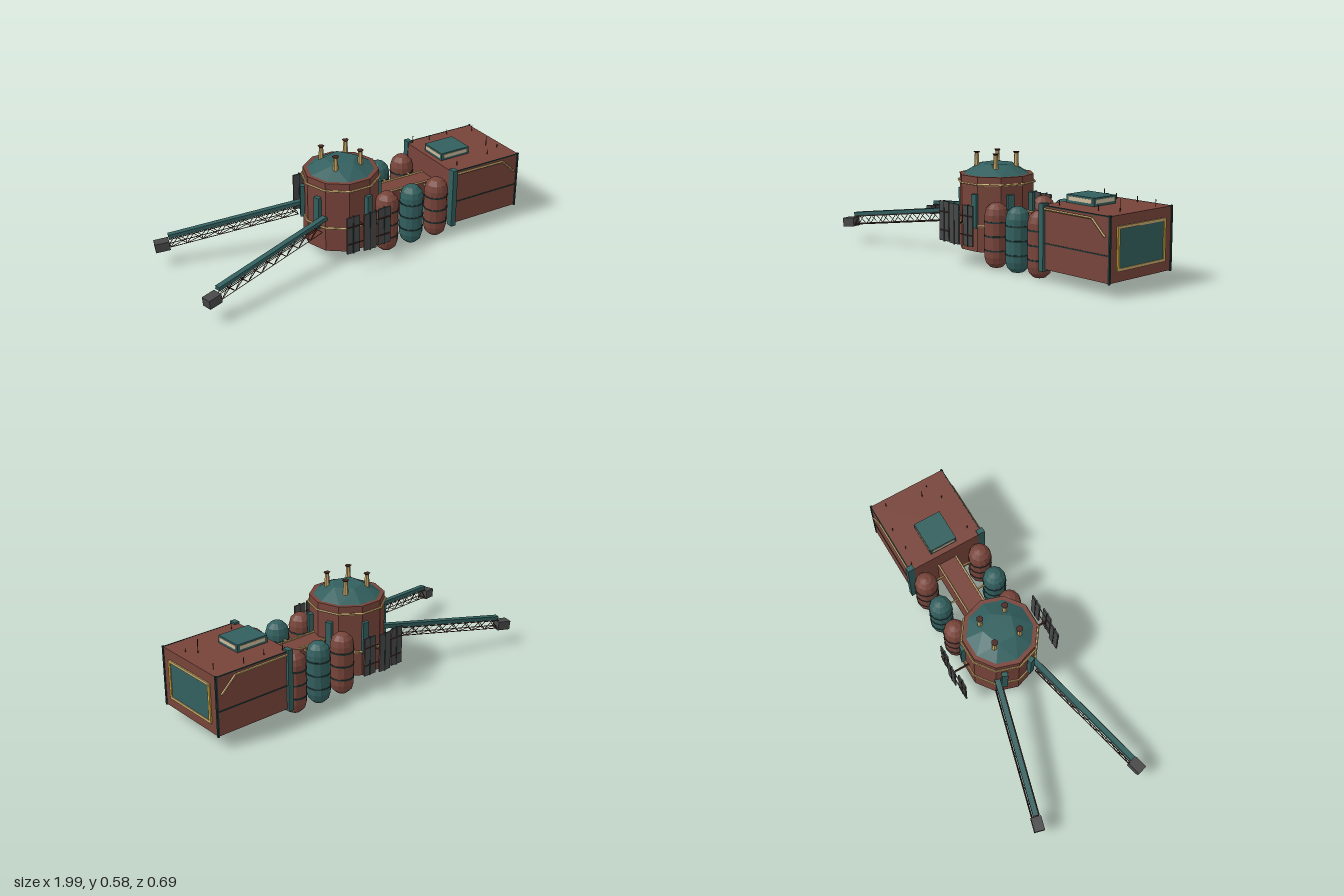
import * as THREE from 'three';
import { ConvexGeometry } from 'three/addons/geometries/ConvexGeometry.js';

const mat = (name, color) => Object.assign(new THREE.MeshStandardMaterial({ color }), { name });
const V = (x, y, z) => new THREE.Vector3(x, y, z);

export function createModel() {
  const rust = mat('rust red', 0x77443a);
  const darkRust = mat('dark rust', 0x4a2822);
  const teal = mat('teal', 0x325f5e);
  const darkTeal = mat('dark teal', 0x1e3434);
  const gold = mat('gold', 0xc9a642);
  const tan = mat('tan', 0xc6a668);
  const beige = mat('beige', 0xcbba9b);
  const grey = mat('dark grey', 0x474747);

  const root = new THREE.Group();
  root.name = 'station';

  // faceted mesh added to a parent
  const add = (name, geo, material, parent = root) => {
    const g = geo.index ? geo.toNonIndexed() : geo;
    g.computeVertexNormals();
    const m = new THREE.Mesh(g, material);
    m.name = name;
    parent.add(m);
    return m;
  };
  // box given by its extents
  const box = (name, material, x0, x1, y0, y1, z0, z1, parent = root) => {
    const m = add(name, new THREE.BoxGeometry(x1 - x0, y1 - y0, z1 - z0), material, parent);
    m.position.set((x0 + x1) / 2, (y0 + y1) / 2, (z0 + z1) / 2);
    return m;
  };
  // thin rod between two points
  const rod = (name, material, a, b, r, parent = root, sides = 5) => {
    const d = b.clone().sub(a);
    const m = add(name, new THREE.CylinderGeometry(r, r, d.length(), sides), material, parent);
    m.position.copy(a).add(b).multiplyScalar(0.5);
    m.quaternion.setFromUnitVectors(V(0, 1, 0), d.normalize());
    return m;
  };

  // Drum with a faceted dome
  const drum = new THREE.Group();
  drum.name = 'drum';
  drum.position.x = -0.04;
  root.add(drum);
  add('drumBody', new THREE.CylinderGeometry(0.203, 0.203, 0.4, 10, 1, false, Math.PI / 2), rust, drum).position.y = 0.27;
  const domePoints = [];
  for (let i = 0; i < 10; i++) {
    const a = i * Math.PI / 5;
    domePoints.push(V(Math.cos(a) * 0.183, 0.468, Math.sin(a) * 0.183));
    if (i % 2 === 0) domePoints.push(V(Math.cos(a) * 0.09, 0.525, Math.sin(a) * 0.09));
  }
  add('dome', new ConvexGeometry(domePoints), teal, drum);
  for (const y of [0.43, 0.21]) {
    const ring = add('drumPipe', new THREE.TorusGeometry(0.209, 0.006, 5, 10), tan, drum);
    ring.rotation.x = Math.PI / 2;
    ring.position.y = y;
  }

  // Chimneys
  for (const sx of [-1, 1]) for (const sz of [-1, 1]) {
    add('chimney', new THREE.CylinderGeometry(0.011, 0.015, 0.075, 6), tan, drum).position.set(sx * 0.075, 0.54, sz * 0.075);
    add('chimneyCap', new THREE.CylinderGeometry(0.019, 0.012, 0.008, 6), darkRust, drum).position.set(sx * 0.075, 0.581, sz * 0.075);
  }

  // Upright brackets round the drum
  for (const deg of [22, 76, 157]) for (const s of [-1, 1]) {
    const a = s * deg * Math.PI / 180;
    const b = add('bracket', new THREE.BoxGeometry(0.024, 0.18, 0.034), teal, drum);
    b.position.set(Math.cos(a) * 0.207, 0.29, Math.sin(a) * 0.207);
    b.rotation.y = -a;
  }

  // Spine joining drum and module
  box('spine', rust, 0.12, 0.55, 0.13, 0.275, -0.06, 0.06);
  for (const s of [-1, 1]) rod('spinePipe', tan, V(0.14, 0.277, s * 0.055), V(0.54, 0.277, s * 0.055), 0.006);

  // Tanks with straps
  for (const s of [-1, 1]) [0.145, 0.305, 0.465].forEach((x, i) => {
    const tank = new THREE.Group();
    tank.name = 'tank';
    tank.position.set(x, 0.176, s * 0.17);
    root.add(tank);
    add('tankBody', new THREE.CapsuleGeometry(0.064, 0.222, 3, 12), i === 1 ? teal : rust, tank);
    for (const y of [-0.075, 0, 0.075])
      add('tankStrap', new THREE.CylinderGeometry(0.0665, 0.0665, 0.008, 12, 1, false, Math.PI / 2), darkTeal, tank).position.y = y;
    rod('tankPipe', tan, V(x, 0.26, s * 0.05), V(x, 0.26, s * 0.12), 0.006);
  });

  // Cargo module
  box('module', rust, 0.53, 0.98, 0.07, 0.39, -0.225, 0.225);
  for (const s of [-1, 1]) {
    const z = (a, b) => (s > 0 ? [a, b] : [-b, -a]);
    box('moduleFramePost', teal, 0.527, 0.557, 0.06, 0.4, ...z(0.2, 0.24));
    box('moduleCornerPost', darkTeal, 0.974, 0.984, 0.066, 0.394, ...z(0.218, 0.229));
    box('sideBand', darkTeal, 0.557, 0.974, 0.198, 0.204, ...z(0.224, 0.228));
    box('roofEdge', darkTeal, 0.557, 0.974, 0.385, 0.391, ...z(0.222, 0.227));
    // side pipe with a sloping end
    const p = [V(0.55, 0.373, s * 0.23), V(0.87, 0.37, s * 0.23), V(0.955, 0.29, s * 0.23)];
    rod('sidePipe', tan, p[0], p[1], 0.006);
    rod('sidePipeEnd', tan, p[1], p[2], 0.006);
  }

  // End hatch with its border
  box('hatch', teal, 0.979, 0.983, 0.13, 0.328, -0.165, 0.165);
  for (const y of [0.121, 0.324]) box('hatchRail', tan, 0.979, 0.987, y, y + 0.014, -0.175, 0.175);
  for (const z of [-0.175, 0.16]) box('hatchPost', gold, 0.979, 0.988, 0.13, 0.33, z, z + 0.015);

  // Roof unit with windows on all sides
  box('roofUnit', teal, 0.56, 0.745, 0.388, 0.432, -0.079, 0.079);
  for (const x of [0.558, 0.743]) box('roofWindow', beige, x, x + 0.004, 0.403, 0.423, -0.067, 0.067);
  for (const z of [-0.081, 0.077]) box('roofWindow', beige, 0.575, 0.73, 0.403, 0.423, z, z + 0.004);

  // Roof aerials
  for (const [x, z, h] of [[0.89, 0.05, 0.06], [0.66, -0.18, 0.03], [0.79, -0.19, 0.03], [0.94, -0.15, 0.035],
    [0.6, 0.17, 0.025], [0.83, 0.14, 0.025], [0.93, 0.1, 0.02], [0.56, -0.2, 0.04]])
    rod('aerial', darkRust, V(x, 0.385, z), V(x, 0.39 + h, z), 0.002);

  // Panel arrays beside the drum
  for (const s of [-1, 1]) {
    [-0.136, -0.041, 0.054].forEach((x, i) => {
      const z = s * (i === 1 ? 0.298 : 0.286);
      box('panel', grey, x - 0.038, x + 0.038, 0.122, 0.335, z - 0.004, z + 0.004);
      box('panelRib', darkTeal, x - 0.003, x + 0.003, 0.118, 0.34, z - 0.006, z + 0.006);
    });
    for (const y of [0.18, 0.28]) rod('panelBar', darkRust, V(-0.17, y, s * 0.292), V(0.09, y, s * 0.292), 0.003);
    rod('panelStrut', darkRust, V(-0.04, 0.23, s * 0.18), V(-0.04, 0.23, s * 0.292), 0.006);
  }

  // Truss arms, built along local +z
  for (const s of [-1, 1]) {
    const arm = new THREE.Group();
    arm.name = 'arm';
    const a = V(-0.2, 0.265, s * 0.11), b = V(-0.92, 0.167, s * 0.3);
    const len = a.distanceTo(b);
    arm.position.copy(a);
    arm.lookAt(b);
    root.add(arm);
    box('armBeam', teal, -0.015, 0.015, -0.011, 0.011, 0, len, arm);
    const w = 0.02, top = -0.012, low = -0.058, n = 16, start = 0.05;
    const step = (len - start) / n;
    for (const e of [-1, 1]) {
      rod('armChord', darkRust, V(e * w, low, start), V(e * w, low, len), 0.0025, arm, 4);
      rod('armTopChord', darkRust, V(e * w, top, start), V(e * w, top, len), 0.0025, arm, 4);
      for (let i = 0; i < n; i++) {
        const z0 = start + i * step, up = i % 2;
        rod('armBrace', darkRust, V(e * w, up ? top : low, z0), V(e * w, up ? low : top, z0 + step), 0.002, arm, 4);
      }
    }
    for (let i = 0; i <= n; i += 2) {
      const z0 = start + i * step;
      rod('armTie', darkRust, V(-w, low, z0), V(w, low, z0), 0.002, arm, 4);
      if (i < n) rod('armCross', darkRust, V(-w, low, z0), V(w, low, z0 + 2 * step), 0.002, arm, 4);
    }
    // end block
    const end = add('armEnd', new THREE.BoxGeometry(0.078, 0.05, 0.056), grey);
    end.position.set(-0.955, 0.118, s * 0.308);
    end.rotation.set(0, s * 0.26, -0.0);
    end.rotation.z = 0.1;
  }

  return root;
}
